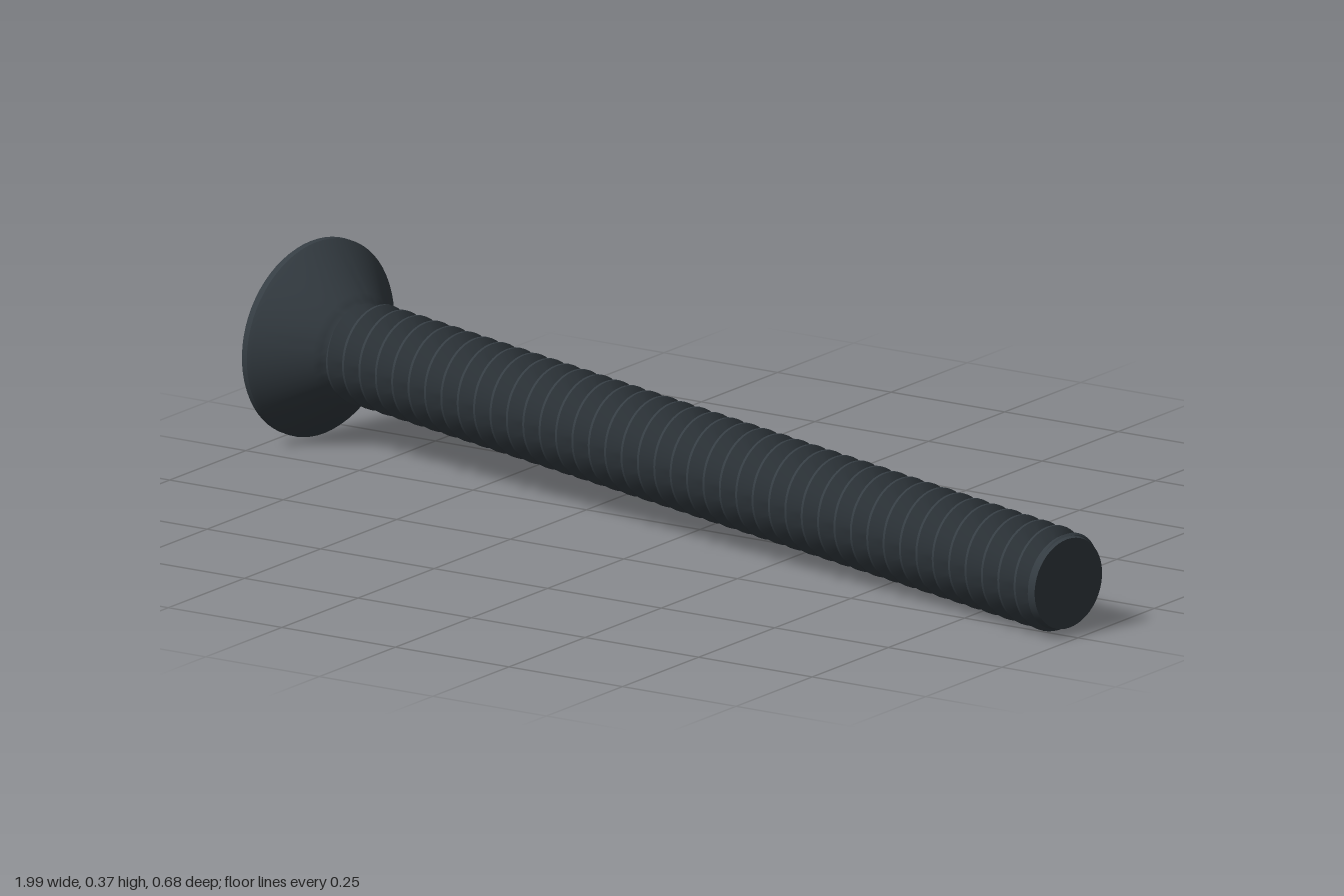
import * as THREE from 'three';
import { toCreasedNormals } from 'three/addons/utils/BufferGeometryUtils.js';

const LENGTH = 1.98;      // head face to tip
const HEAD_R = 0.187;
const CREST_R = 0.097;
const ROOT_R = 0.074;
const PITCH = 0.043;
const THREAD_START = 0.11;

// Cross outline, counter-clockwise, with arms of the given reach and half width
function crossPoints(reach, half) {
  const pts = [];
  for (let i = 0; i < 4; i++) {
    const c = Math.round(Math.cos(i * Math.PI / 2)), s = Math.round(Math.sin(i * Math.PI / 2));
    for (const [x, y] of [[reach, -half], [reach, half], [half, half]]) {
      pts.push(new THREE.Vector2(x * c - y * s, x * s + y * c));
    }
  }
  return pts;
}

function indexed(positions, indices) {
  const g = new THREE.BufferGeometry();
  g.setAttribute('position', new THREE.Float32BufferAttribute(positions, 3));
  g.setIndex(indices);
  return toCreasedNormals(g, 0.4);
}

// Helical V thread: a tooth profile swept along the shaft
function threadGeometry() {
  const profile = [[0, ROOT_R], [0.12, ROOT_R], [0.5, CREST_R], [0.62, CREST_R]];
  const segments = 48, end = LENGTH - 0.004;
  const turns = Math.ceil((end - THREAD_START) / PITCH) + 1;
  const rows = turns * profile.length;
  const pos = [], idx = [];
  for (let k = 0; k <= rows; k++) {
    const [offset, radius] = profile[k % profile.length];
    const turn = Math.floor(k / profile.length) - 1;
    for (let i = 0; i <= segments; i++) {
      const a = i / segments * Math.PI * 2;
      const s = THREE.MathUtils.clamp(THREAD_START + (turn + offset + i / segments) * PITCH, THREAD_START, end);
      // fade the teeth at the neck and chamfer them at the tip
      const r = Math.min(radius, 0.076 + (s - THREAD_START), 0.086 + (end - s) * 0.7);
      pos.push(r * Math.sin(a), s, r * Math.cos(a));
    }
  }
  const w = segments + 1;
  for (let k = 0; k < rows; k++) {
    for (let i = 0; i < segments; i++) {
      const a = k * w + i, d = a + w;
      idx.push(a, a + 1, d + 1, a, d + 1, d);
    }
  }
  return indexed(pos, idx);
}

// Tapered walls joining the mouth of the recess to its floor
function recessWalls(mouth, floor, depth) {
  const pos = [], idx = [], n = mouth.length;
  mouth.forEach(p => pos.push(p.x, p.y, 0));
  floor.forEach(p => pos.push(p.x, p.y, -depth));
  for (let i = 0; i < n; i++) {
    const j = (i + 1) % n;
    idx.push(i, j, n + j, i, n + j, n + i);
  }
  return indexed(pos, idx);
}

export function createModel() {
  const steel = new THREE.MeshStandardMaterial({ color: 0x353d43 });
  steel.name = 'darkSteel';

  const model = new THREE.Group();
  model.name = 'machineScrew';
  const screw = new THREE.Group();
  screw.name = 'screw';
  model.add(screw);

  const add = (name, geometry) => {
    const mesh = new THREE.Mesh(geometry, steel);
    mesh.name = name;
    screw.add(mesh);
    return mesh;
  };

  // Countersunk head with a thin rim and a filleted neck
  const headProfile = [
    [HEAD_R - 0.003, 0], [HEAD_R, 0.004], [HEAD_R, 0.016], [HEAD_R - 0.006, 0.024],
    [0.105, 0.104], [0.094, 0.113], [0.084, 0.119], [0.078, 0.128], [0.074, 0.14],
  ].map(([r, s]) => new THREE.Vector2(r, s));
  add('head', toCreasedNormals(new THREE.LatheGeometry(headProfile, 64), 0.5));

  // Flat drive face with the cross recess cut into it
  const depth = 0.075;
  const mouth = crossPoints(0.108, 0.023), floor = crossPoints(0.055, 0.015);
  const face = new THREE.Shape().absarc(0, 0, HEAD_R - 0.003, 0, Math.PI * 2);
  face.holes.push(new THREE.Path(mouth.slice().reverse()));
  add('headFace', new THREE.ShapeGeometry(face, 48)).rotation.x = Math.PI / 2;
  add('recessWalls', recessWalls(mouth, floor, depth)).rotation.x = Math.PI / 2;
  const recessFloor = add('recessFloor', new THREE.ShapeGeometry(new THREE.Shape(floor)));
  recessFloor.rotation.x = Math.PI / 2;
  recessFloor.position.y = depth;

  // Threaded shaft and its flat tip
  add('threadedShaft', threadGeometry());
  add('tip', new THREE.CylinderGeometry(0.086, 0.09, 0.014, 48)).position.y = LENGTH - 0.007;

  // Lay the screw down, resting on its head rim and tip
  const headCentre = new THREE.Vector3(-0.959, 0.187, -0.163);
  const tipCentre = new THREE.Vector3(0.979, 0.098, 0.247);
  screw.position.copy(headCentre);
  screw.quaternion.setFromUnitVectors(
    new THREE.Vector3(0, 1, 0), tipCentre.sub(headCentre).normalize());

  return model;
}
